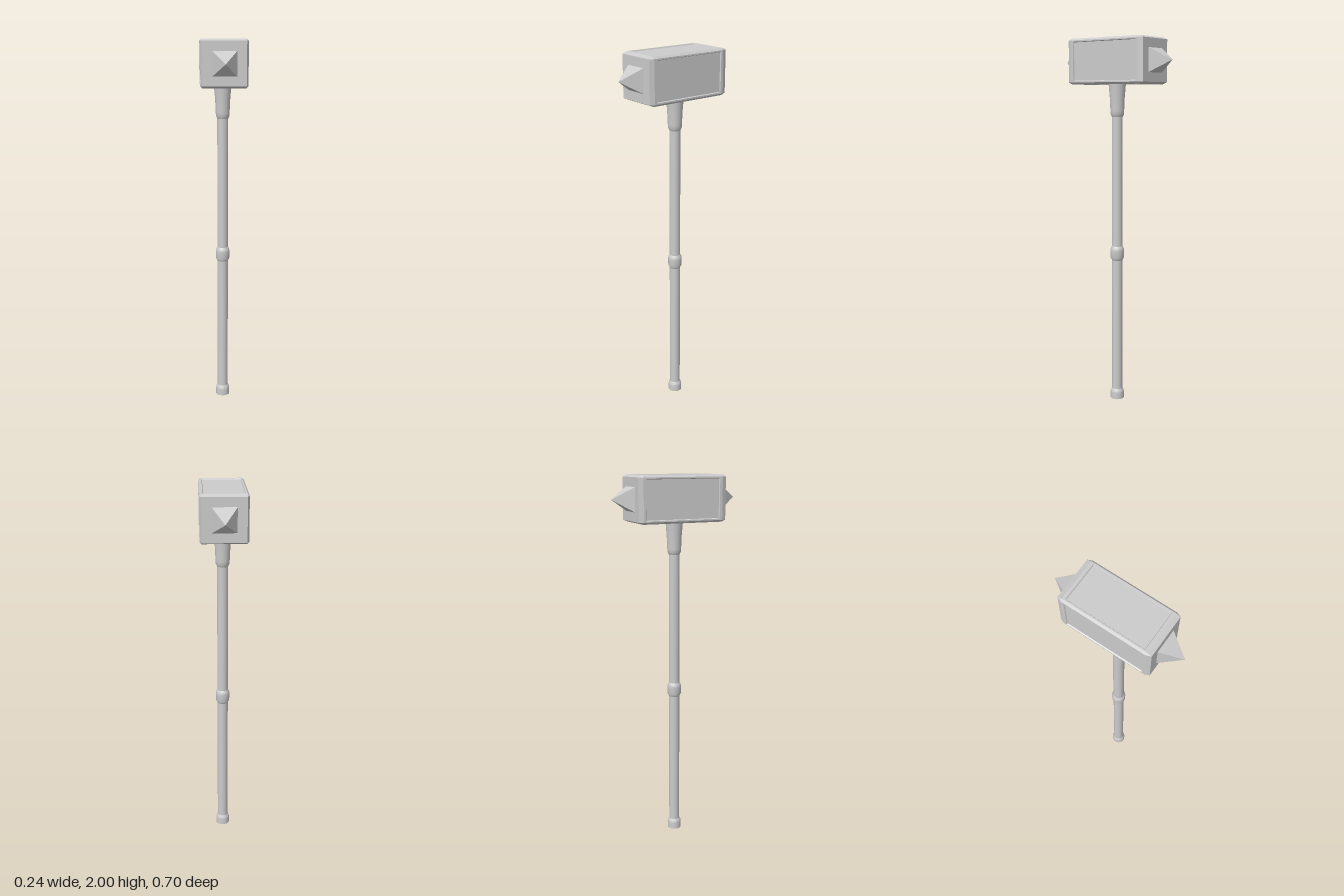
import * as THREE from 'three';

const mat = new THREE.MeshStandardMaterial({ color: 0xcccccc });
const flat = new THREE.MeshStandardMaterial({ color: 0xcccccc, flatShading: true });
const HEAD_Y = 1.88;

// Chamfered block along z with a shallow sunken panel on each long side
function headGeometry() {
  const pos = [];
  const quad = (a, b, c, d) => pos.push(...a, ...b, ...c, ...a, ...c, ...d);
  // Rectangle seen from above: half width, half length, height
  const ring = (w, l, h) => [[-w, h, l], [w, h, l], [w, h, -l], [-w, h, -l]];
  const outer = ring(0.11, 0.22, 0.12);
  const inner = ring(0.103, 0.205, 0.12);
  const floor = ring(0.1, 0.202, 0.114);
  const end = ring(0.11, 0.243, 0.11);

  for (let side = 0; side < 4; side++) {
    const turn = ([x, y, z]) => {
      for (let i = 0; i < side; i++) [x, y] = [y, -x];
      return [x, y, z];
    };
    const face = (...p) => quad(...p.map(turn));
    for (let i = 0; i < 4; i++) {
      const j = (i + 1) % 4;
      face(outer[i], outer[j], inner[j], inner[i]);
      face(inner[i], inner[j], floor[j], floor[i]);
    }
    face(...floor);
    // Bevels towards both ends
    face(end[0], end[1], outer[1], outer[0]);
    face(end[2], end[3], outer[3], outer[2]);
    // Long corner chamfer and its pointed tips
    const b = [0.12, 0.11, 0.22], c = [0.12, 0.11, -0.22];
    face(outer[1], b, c, outer[2]);
    pos.push(...[outer[1], end[1], b, outer[2], c, end[2]].flatMap(turn));
  }
  // Square end faces
  const e = 0.11, z = 0.243;
  quad([-e, -e, z], [e, -e, z], [e, e, z], [-e, e, z]);
  quad([e, -e, -z], [-e, -e, -z], [-e, e, -z], [e, e, -z]);

  const g = new THREE.BufferGeometry();
  g.setAttribute('position', new THREE.Float32BufferAttribute(pos, 3));
  g.computeVertexNormals();
  return g;
}

export function createModel() {
  const group = new THREE.Group();
  const add = (name, geometry, material = mat) => {
    const mesh = new THREE.Mesh(geometry, material);
    mesh.name = name;
    group.add(mesh);
    return mesh;
  };
  const lathe = (name, profile) =>
    add(name, new THREE.LatheGeometry(profile.map(([r, y]) => new THREE.Vector2(r, y)), 20));

  // Handle
  lathe('shaft', [[0.029, 0.03], [0.029, 1.77]]);
  lathe('pommel', [[0.038, 0], [0.038, 0.035], [0.036, 0.045], [0.029, 0.058]]);
  add('pommelBase', new THREE.CircleGeometry(0.038, 20).rotateX(Math.PI / 2));
  lathe('gripRing', [[0.029, 0.803], [0.037, 0.818], [0.038, 0.858], [0.036, 0.87], [0.029, 0.882]]);
  lathe('collar', [[0.029, 1.588], [0.036, 1.602], [0.037, 1.62], [0.04, 1.69], [0.047, 1.77]]);

  // Head
  add('head', headGeometry(), flat).position.y = HEAD_Y;

  // Four-sided spikes at front and back
  for (const s of [1, -1]) {
    const g = new THREE.ConeGeometry(0.062 * Math.SQRT2, 0.105, 4);
    g.rotateY(Math.PI / 4).rotateX(s * Math.PI / 2);
    add(s > 0 ? 'frontSpike' : 'backSpike', g, flat).position.set(0, HEAD_Y, s * 0.2955);
  }
  return group;
}
